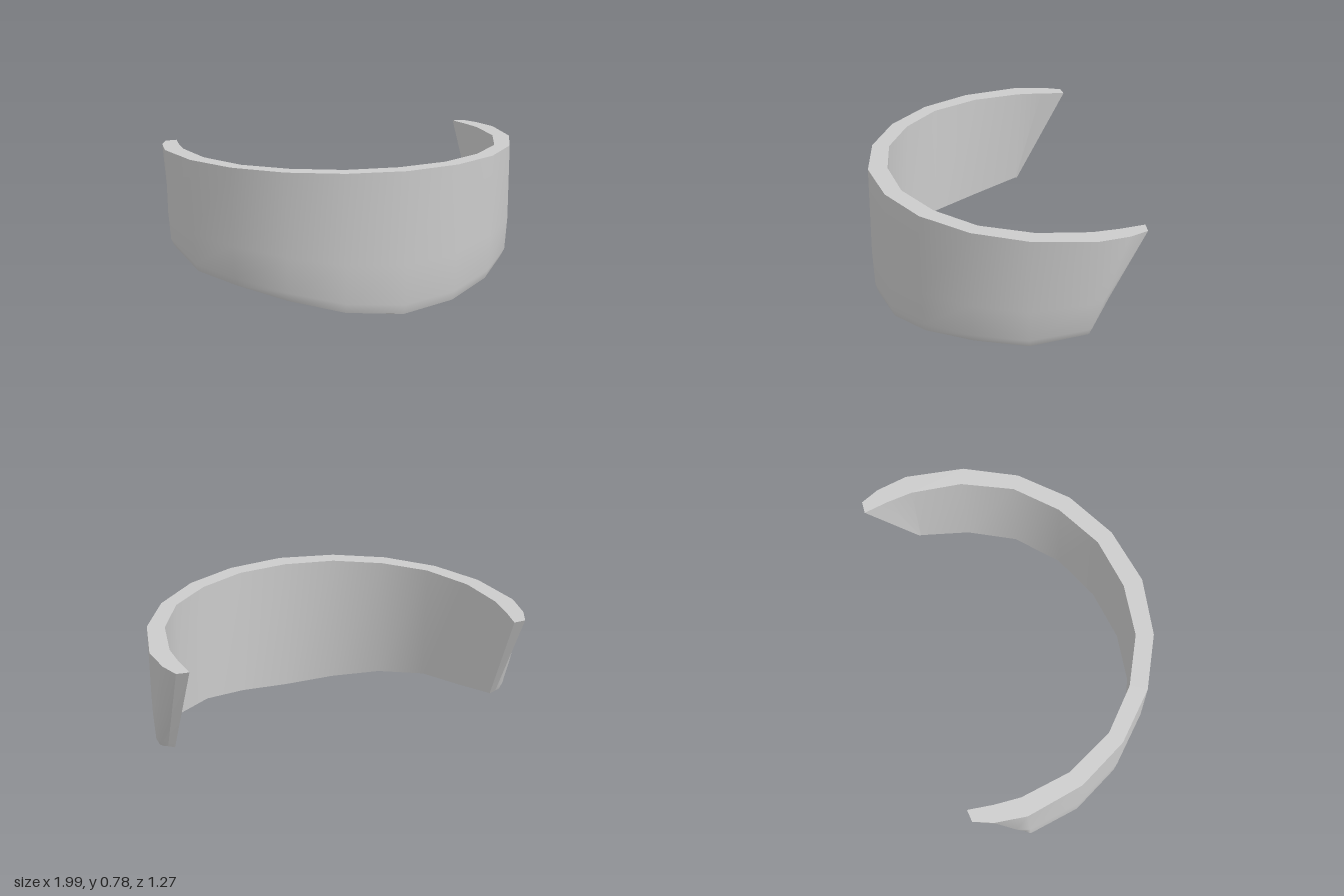
import * as THREE from 'three';

const TOP = 0.78;

// Stations of the left half, from the front centre to the rear tip:
// outer top [x, z], outer bottom [x, y, z], inner top [x, z], inner bottom [x, y, z]
const HALF = [
  [[0, 0.635], [0, 0.02, 0.605], [0, 0.53], [0, 0, 0.545]],
  [[0.31, 0.58], [0.3, 0.045, 0.55], [0.28, 0.49], [0.28, 0.03, 0.5]],
  [[0.58, 0.44], [0.56, 0.1, 0.42], [0.53, 0.36], [0.53, 0.08, 0.375]],
  [[0.8, 0.22], [0.77, 0.145, 0.2], [0.73, 0.17], [0.73, 0.125, 0.175]],
  [[0.94, -0.05], [0.91, 0.17, -0.06], [0.855, -0.09], [0.855, 0.15, -0.08]],
  [[0.997, -0.36], [0.968, 0.245, -0.34], [0.895, -0.36], [0.895, 0.225, -0.35]],
  [[0.972, -0.53], [0.955, 0.242, -0.352], [0.885, -0.5], [0.895, 0.225, -0.355]],
  [[0.93, -0.63], [0.93, 0.237, -0.358], [0.865, -0.635], [0.895, 0.225, -0.36]],
];

// Height fractions of the wall, and how far the lower edge has swelled to full width
const ROWS = [[0, 0], [0.07, 0.6], [0.35, 0.95], [1, 1]];

const mix = THREE.MathUtils.lerp;

// Surface through a grid of points, smooth inside and sharp at its border
function sheet(name, rows, material) {
  const n = rows[0].length;
  const index = [];
  for (let r = 0; r < rows.length - 1; r++) {
    for (let c = 0; c < n - 1; c++) {
      const a = r * n + c;
      index.push(a, a + 1, a + n + 1, a, a + n + 1, a + n);
    }
  }
  const geometry = new THREE.BufferGeometry().setFromPoints(rows.flat());
  geometry.setIndex(index);
  geometry.computeVertexNormals();
  const mesh = new THREE.Mesh(geometry, material);
  mesh.name = name;
  return mesh;
}

export function createModel() {
  const group = new THREE.Group();
  group.name = 'curvedGuard';
  const material = new THREE.MeshStandardMaterial({ color: 0xcccccc, side: THREE.DoubleSide });

  // Mirror the half into a full run from -x, round the front, to +x
  const stations = [
    ...HALF.slice(1).reverse().map((s, i) => ({ s, side: -1, rear: i < 3 })),
    ...HALF.map((s, i) => ({ s, side: 1, rear: i > 4 })),
  ];

  // Outer wall tucks in near the bottom; the rear edges stay straight and raked
  const outer = ROWS.map(([t, k]) => stations.map(({ s: [top, low], side, rear }) =>
    new THREE.Vector3(side * mix(low[0], top[0], k), mix(low[1], TOP, t), mix(low[2], top[1], rear ? t : k))));
  const inner = ROWS.map(([t]) => stations.map(({ s: [, , top, low], side }) =>
    new THREE.Vector3(side * mix(low[0], top[0], t), mix(low[1], TOP, t), mix(low[2], top[1], t))));

  const last = ROWS.length - 1;
  const end = stations.length - 1;
  group.add(
    sheet('outerWall', outer, material),
    sheet('innerWall', [inner[last], inner[0]], material),
    sheet('topRim', [outer[last], inner[last]], material),
    sheet('bottomRim', [inner[0], outer[0]], material),
    sheet('leftEnd', ROWS.map((_, r) => [outer[r][end], inner[r][end]]), material),
    sheet('rightEnd', ROWS.map((_, r) => [inner[r][0], outer[r][0]]), material),
  );
  return group;
}
